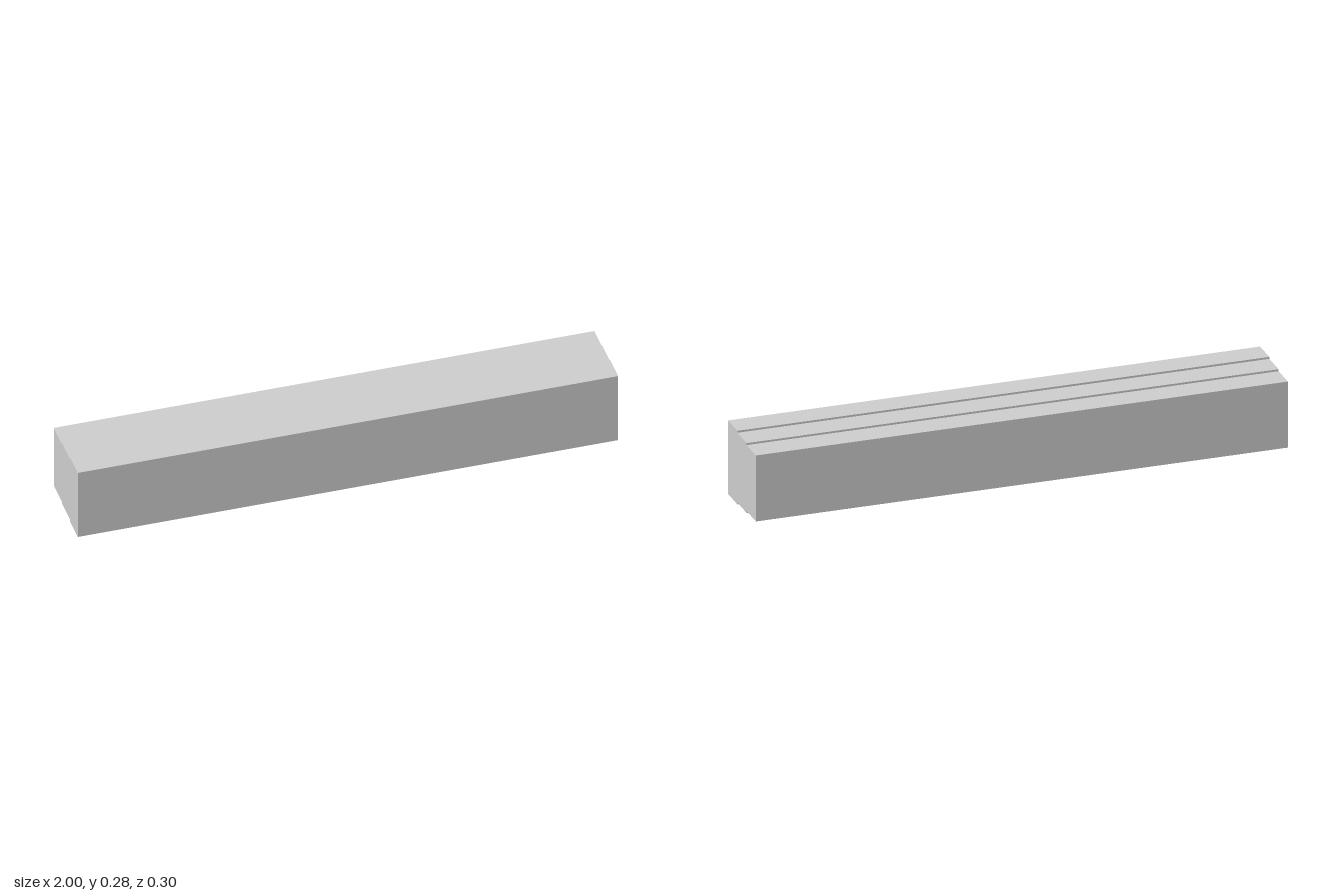
import * as THREE from 'three';

// Stepped bar: three layers, each slightly shorter towards the back
export function createModel() {
  const group = new THREE.Group();
  group.name = 'steppedBar';

  const length = 2, depth = 0.298, height = 0.284, step = 0.0073, count = 3;
  const slab = depth / count;

  // Cross-section, drawn from front (-x) to back (+x), with mirrored steps
  const bottom = [], top = [];
  for (let i = 0; i < count; i++) {
    const a = -depth / 2 + i * slab, b = a + slab;
    const low = i * step, high = height - i * step;
    bottom.push(new THREE.Vector2(a, low), new THREE.Vector2(b, low));
    top.push(new THREE.Vector2(a, high), new THREE.Vector2(b, high));
  }
  const profile = new THREE.Shape([...bottom, ...top.reverse()]);

  // Sweep the section along x
  const geometry = new THREE.ExtrudeGeometry(profile, { depth: length, bevelEnabled: false });
  geometry.translate(0, 0, -length / 2);
  geometry.rotateY(Math.PI / 2);

  const bar = new THREE.Mesh(geometry, new THREE.MeshStandardMaterial({ color: 0xcccccc }));
  bar.name = 'bar';
  group.add(bar);
  return group;
}
